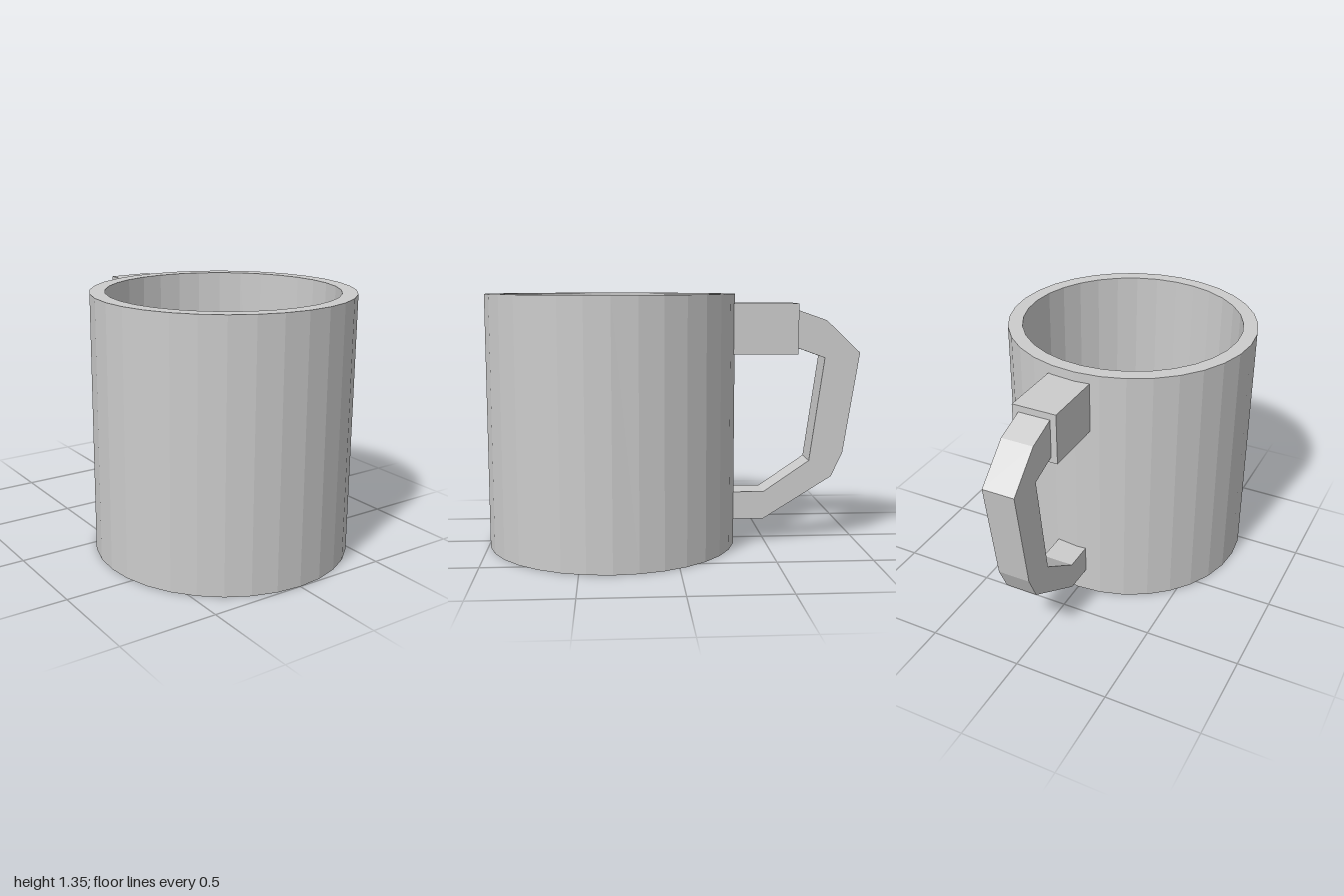
import * as THREE from 'three';

const material = new THREE.MeshStandardMaterial({ color: 0xcccccc, flatShading: true });

function addPart(group, name, geometry) {
  const mesh = new THREE.Mesh(geometry, material);
  mesh.name = name;
  group.add(mesh);
  return mesh;
}

export function createModel() {
  const mug = new THREE.Group();
  mug.name = 'mug';

  // Hollow cup: up the outside, over the rim, down to the inner floor
  const outer = 0.667, inner = 0.59, height = 1.35, floor = 0.08;
  const profile = [
    [0, 0], [outer, 0], [outer, height], [inner, height], [inner, floor], [0, floor],
  ].map(([r, y]) => new THREE.Vector2(r, y));
  addPart(mug, 'cup', new THREE.LatheGeometry(profile, 32)).position.z = 0.333;

  // Block joining the top of the handle to the cup wall
  addPart(mug, 'handleBlock', new THREE.BoxGeometry(0.235, 0.268, 0.37))
    .position.set(0.038, 1.166, -0.475);

  // Angular handle: side outline as (distance behind the centre, height)
  const outline = [
    [0.64, 1.265], [0.66, 1.265], [0.817, 1.21], [1, 1.037], [0.916, 0.494],
    [0.856, 0.364], [0.487, 0.134], [0.3, 0.134], [0.3, 0.284], [0.487, 0.284],
    [0.733, 0.452], [0.81, 1.01], [0.66, 1.064], [0.64, 1.064],
  ].map(([d, y]) => new THREE.Vector2(d, y));
  const handle = new THREE.ExtrudeGeometry(new THREE.Shape(outline), { depth: 0.17, bevelEnabled: false });
  handle.rotateY(Math.PI / 2);
  addPart(mug, 'handle', handle).position.x = -0.047;

  return mug;
}
